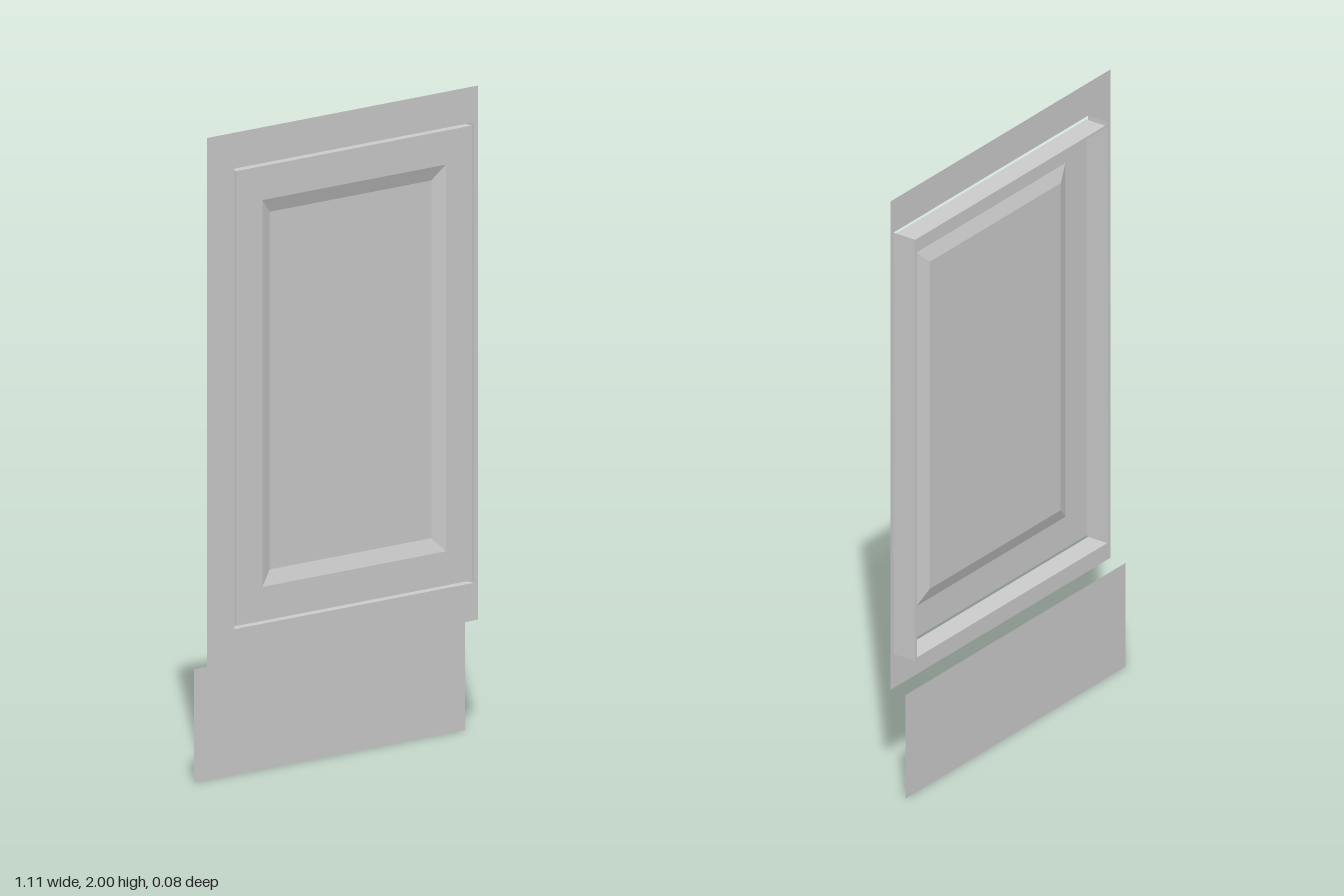
import * as THREE from 'three';

const Z = 0.041; // half depth
const BOTTOM = 0, RIGHT = 1, TOP = 2, LEFT = 3;
const rect = (l, b, r, t) => ({ l, b, r, t });
const inset = (q, d) => rect(q.l + d, q.b + d, q.r - d, q.t - d);
const corners = q => [[q.l, q.b], [q.r, q.b], [q.r, q.t], [q.l, q.t]];

const material = new THREE.MeshStandardMaterial({ color: 0xcccccc, flatShading: true, side: THREE.DoubleSide });

// Band of quads joining two rectangles, each at its own depth
function band(outer, zOuter, inner, zInner, sides = [BOTTOM, RIGHT, TOP, LEFT]) {
  const a = corners(outer).map(p => [...p, zOuter]);
  const b = corners(inner).map(p => [...p, zInner]);
  const pos = [];
  for (const i of sides) {
    const j = (i + 1) % 4;
    pos.push(...a[i], ...a[j], ...b[j], ...a[i], ...b[j], ...b[i]);
  }
  const g = new THREE.BufferGeometry();
  g.setAttribute('position', new THREE.Float32BufferAttribute(pos, 3));
  g.computeVertexNormals();
  return g;
}

// Flat rectangular sheet facing the front
function sheet(q, z) {
  return new THREE.PlaneGeometry(q.r - q.l, q.t - q.b)
    .translate((q.l + q.r) / 2, (q.b + q.t) / 2, z);
}

export function createModel() {
  const model = new THREE.Group();
  model.name = 'cabinetFront';
  const add = (parent, name, geometry) => {
    const mesh = new THREE.Mesh(geometry, material);
    mesh.name = name;
    parent.add(mesh);
  };

  const frame = rect(-0.555, 0.35, 0.555, 2);
  const opening = rect(-0.443, 0.466, 0.54, 1.889);
  const doorEdge = inset(opening, 0.009);
  const bevelOuter = rect(-0.328, 0.58, 0.424, 1.775);
  const bevelInner = inset(bevelOuter, 0.045);
  const recess = Z - 0.016;

  // Face frame and set-back toe kick
  add(model, 'faceFrame', band(frame, Z, opening, Z));
  add(model, 'toeKick', sheet(rect(-0.555, 0, 0.555, 0.35), -0.016));

  // Narrow channel around the door, open above the door and below it
  const gap = new THREE.Group();
  gap.name = 'doorGap';
  add(gap, 'openingWalls', band(opening, Z, opening, -Z, [BOTTOM, RIGHT, LEFT]));
  add(gap, 'gapFloor', band(opening, -Z, doorEdge, -Z));
  add(gap, 'doorSides', band(doorEdge, -Z, doorEdge, Z, [RIGHT, TOP, LEFT]));
  model.add(gap);

  // Door with sloped border and recessed centre
  const door = new THREE.Group();
  door.name = 'door';
  add(door, 'doorBorder', band(doorEdge, Z, bevelOuter, Z));
  add(door, 'doorBevel', band(bevelOuter, Z, bevelInner, recess));
  add(door, 'doorPanel', sheet(bevelInner, recess));
  model.add(door);

  return model;
}
